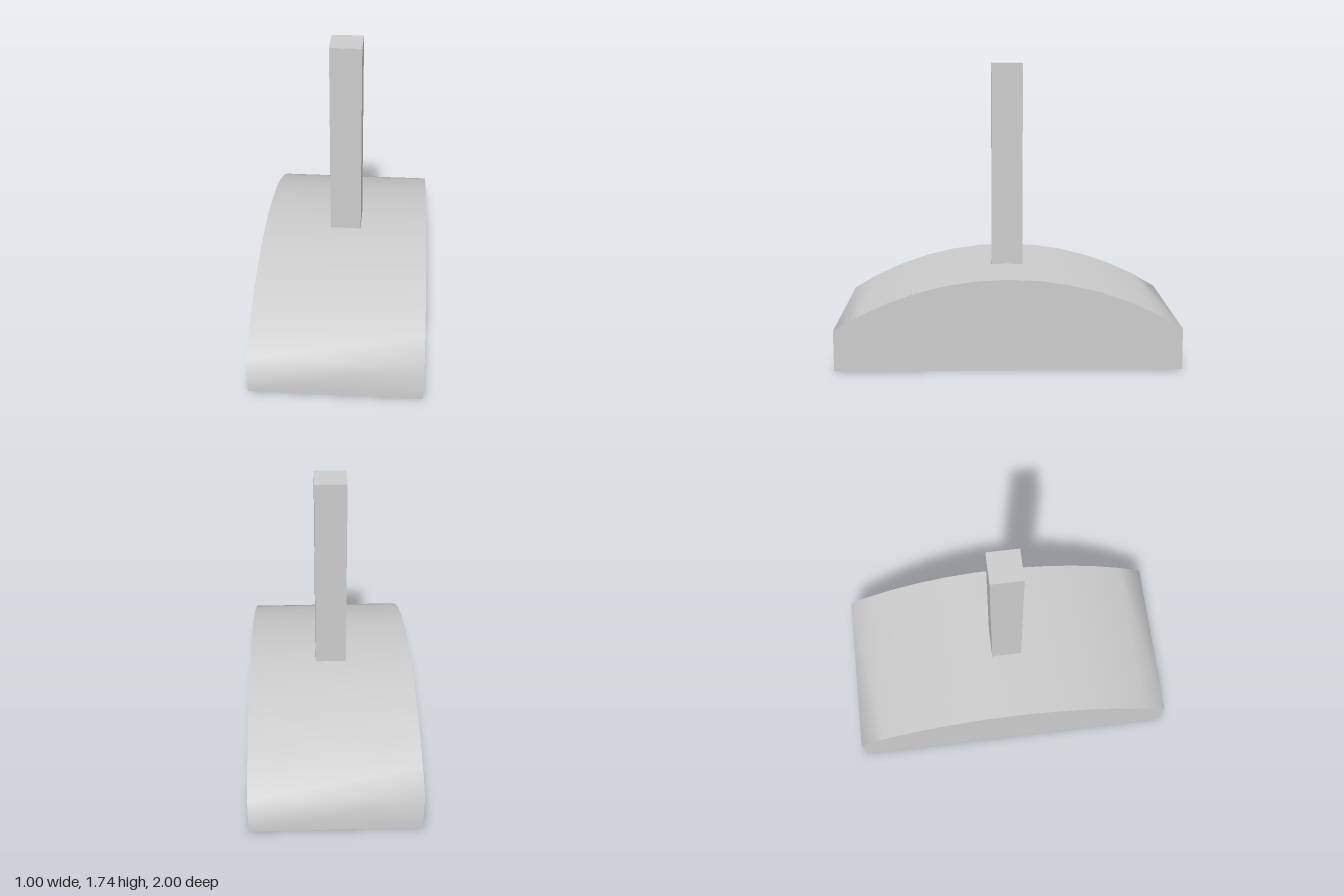
import * as THREE from 'three';
import { toCreasedNormals } from 'three/addons/utils/BufferGeometryUtils.js';

export function createModel() {
  const model = new THREE.Group();
  const material = new THREE.MeshStandardMaterial({ color: 0xcccccc });

  // Arched base: flat bottom, short upright ends and a shallow arc on top
  const width = 1, endHeight = 0.24, rise = 0.295;
  const radius = (1 + rise * rise) / (2 * rise);
  const halfAngle = Math.asin(1 / radius);
  const profile = new THREE.Shape();
  profile.moveTo(-1, 0);
  profile.lineTo(1, 0);
  profile.lineTo(1, endHeight);
  profile.absarc(0, endHeight + rise - radius, radius,
    Math.PI / 2 - halfAngle, Math.PI / 2 + halfAngle, false);
  profile.closePath();

  const baseGeometry = new THREE.ExtrudeGeometry(profile, {
    depth: width, bevelEnabled: false, curveSegments: 6,
  });
  baseGeometry.translate(0, 0, -width / 2).rotateY(-Math.PI / 2);
  // Ends blend smoothly into the arc; the right-angled edges stay sharp
  const base = new THREE.Mesh(toCreasedNormals(baseGeometry, 1.25), material);
  base.name = 'archedBase';
  model.add(base);

  // Square upright handle, seated slightly into the base
  const bottom = 0.52, top = 1.74, side = 0.186;
  const handle = new THREE.Mesh(new THREE.BoxGeometry(side, top - bottom, side), material);
  handle.position.y = (top + bottom) / 2;
  handle.name = 'handle';
  model.add(handle);

  return model;
}
